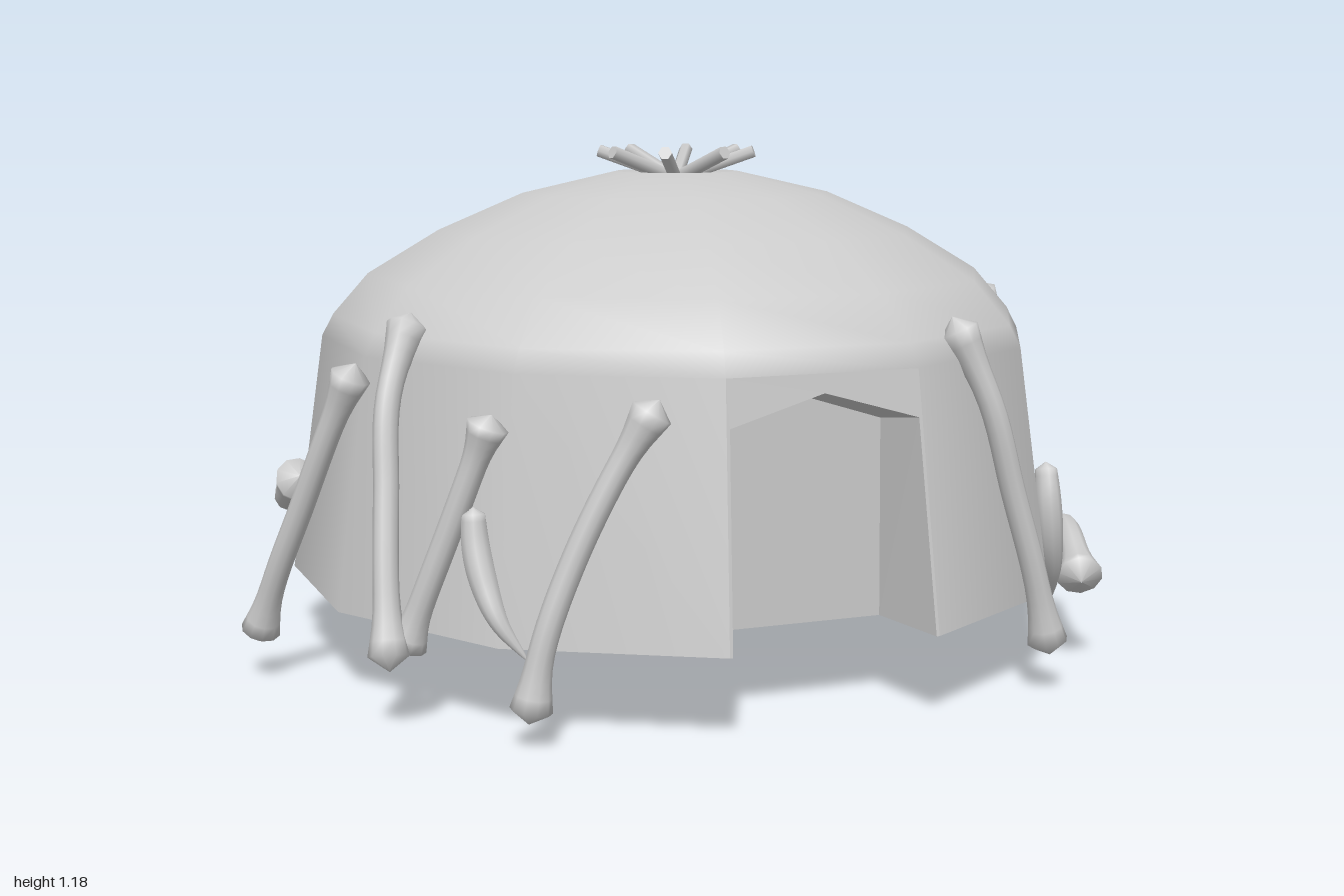
import * as THREE from 'three';

const CX = 0.04, CZ = 0.06, SIDES = 12, HALF = Math.PI / SIDES;
const mat = new THREE.MeshStandardMaterial({ color: 0xcccccc });
const thin = new THREE.MeshStandardMaterial({ color: 0xcccccc, side: THREE.DoubleSide });

function add(group, name, geo, material = mat) {
  const m = new THREE.Mesh(geo, material);
  m.name = name;
  group.add(m);
  return m;
}

function addGroup(parent, name) {
  const g = new THREE.Group();
  g.name = name;
  parent.add(g);
  return g;
}

// hide cover: distance of the flat sides from the axis, and height
const COVER = [[0.88, 0.19], [0.805, 0.74], [0.78, 0.79], [0.7, 0.885], [0.54, 0.985],
  [0.35, 1.07], [0.14, 1.12], [0.1, 1.105], [0.001, 1.09]];

// distance of the flat sides at a height
function wallAt(y) {
  if (y <= COVER[0][1]) return COVER[0][0];
  const i = COVER.findIndex(p => p[1] >= y);
  const [r0, y0] = COVER[i - 1], [r1, y1] = COVER[i];
  return r0 + (r1 - r0) * (y - y0) / (y1 - y0);
}

function buildCover(group) {
  const pts = COVER.map(([r, y]) => new THREE.Vector2(r / Math.cos(HALF), y));
  const geo = new THREE.LatheGeometry(pts, SIDES, HALF);
  // leave out the front wall panel, which holds the doorway
  const idx = Array.from(geo.index.array);
  idx.splice((SIDES - 1) * (pts.length - 1) * 6, 6);
  geo.setIndex(idx);
  add(group, 'domeCover', geo, thin).position.set(CX, 0, CZ);
}

// gabled door outline: half width at the foot and eaves, eaves and peak heights
function gable(foot, eaves, side, peak) {
  const y = COVER[0][1];
  return [[-foot, y], [-eaves, side], [0, peak], [eaves, side], [foot, y]];
}

const toShape = pts => new THREE.Shape(pts.map(p => new THREE.Vector2(...p)));

function buildDoorway(group) {
  const [[r0, y0], [r1, y1]] = COVER;
  const w0 = r0 * Math.tan(HALF), w1 = r1 * Math.tan(HALF);
  const outer = gable(0.229, 0.212, 0.64, 0.7);
  const inner = gable(0.2, 0.195, 0.62, 0.68);
  const door = addGroup(group, 'doorway');
  door.position.set(CX, 0, CZ);

  // leaning wall panel cut out around the opening
  const panel = new THREE.ShapeGeometry(toShape([[-w0, y0], ...outer, [w0, y0], [w1, y1], [-w1, y1]]));
  const pos = panel.attributes.position;
  for (let i = 0; i < pos.count; i++) pos.setZ(i, wallAt(pos.getY(i)));
  panel.computeVertexNormals();
  add(door, 'doorSurround', panel, thin);

  // jambs and lintels running back to the door panel
  const backZ = 0.68, verts = [];
  for (let i = 0; i < 4; i++) {
    const [a, b] = [outer[i], outer[i + 1]].map(p => [...p, wallAt(p[1])]);
    const [c, d] = [inner[i + 1], inner[i]].map(p => [...p, backZ]);
    verts.push(...a, ...b, ...c, ...a, ...c, ...d);
  }
  const jambs = new THREE.BufferGeometry();
  jambs.setAttribute('position', new THREE.Float32BufferAttribute(verts, 3));
  jambs.computeVertexNormals();
  add(door, 'doorJambs', jambs, thin);
  add(door, 'doorPanel', new THREE.ShapeGeometry(toShape(inner)).translate(0, 0, backZ), thin);
}

// ring of pole ends crossing at the top and fanning outwards
function buildPoles(group) {
  const poles = addGroup(group, 'roofPoles');
  for (let i = 0; i < 8; i++) {
    const pivot = addGroup(poles, 'roofPole');
    pivot.position.set(CX, 1.1, CZ);
    pivot.rotation.y = 0.27 + i * Math.PI / 4;
    const geo = new THREE.CylinderGeometry(0.016, 0.016, 0.22, 6);
    geo.rotateZ(-Math.PI / 2 + 0.34).translate(0.08, 0.03, 0);
    add(pivot, 'pole', geo);
  }
}

// radius along a bone or tusk, t from 0 (start) to 1 (end)
const knobs = t => 0.82 + 0.6 * Math.exp(-((t / 0.11) ** 2)) + 0.6 * Math.exp(-(((1 - t) / 0.11) ** 2));
const taper = t => 0.08 + 1.1 * Math.pow(1 - t, 0.7);
const sliver = t => 0.1 + Math.sin(Math.PI * (0.25 + t * 0.75));

// tube along a curve whose rings are scaled by a profile; end rings close to a point
function limb(points, radius, profile) {
  const curve = new THREE.CatmullRomCurve3(points);
  const seg = 24, rad = 10;
  const geo = new THREE.TubeGeometry(curve, seg, 1, rad, false);
  const pos = geo.attributes.position, v = new THREE.Vector3(), w = new THREE.Vector3();
  for (let i = 0; i <= seg; i++) {
    const t = i / seg, c = curve.getPointAt(t);
    const r = i === 0 || i === seg ? 0.001 : radius * profile(t);
    for (let j = 0; j <= rad; j++) {
      const k = i * (rad + 1) + j;
      v.fromBufferAttribute(pos, k).sub(c).multiplyScalar(r).add(c);
      pos.setXYZ(k, v.x, v.y, v.z);
    }
  }
  // smooth normals, matched along the seam
  geo.computeVertexNormals();
  const n = geo.attributes.normal;
  for (let i = 0; i <= seg; i++) {
    const a = i * (rad + 1), b = a + rad;
    v.fromBufferAttribute(n, a).add(w.fromBufferAttribute(n, b)).normalize();
    n.setXYZ(a, v.x, v.y, v.z);
    n.setXYZ(b, v.x, v.y, v.z);
  }
  return geo;
}

// path lying against the wall between two bearings (degrees from the front) and heights;
// gap is the extra distance from the wall, swing and lift bow the middle
function wallPath(a0, y0, a1, y1, gap0, gap1, swing, lift, radius) {
  const pts = [];
  for (let t = 0; t <= 1; t += 0.25) {
    const bow = 4 * t * (1 - t);
    const a = a0 + (a1 - a0) * t + swing * bow, y = y0 + (y1 - y0) * t + lift * bow;
    const toFlat = THREE.MathUtils.degToRad(a - 30 * Math.round(a / 30));
    const r = wallAt(y) / Math.cos(toFlat) + radius + gap0 + (gap1 - gap0) * t;
    const b = THREE.MathUtils.degToRad(a);
    pts.push(new THREE.Vector3(CX + r * Math.sin(b), y, CZ + r * Math.cos(b)));
  }
  return pts;
}

// each row: start bearing, start height, end bearing, end height, end gap, bow, start gap
const LEANING_BONES = [
  [-24, 0.7, -40, 0.05, 0.013, -3], [27, 0.83, 38.5, 0.08, 0.025, 0],
  [-68, 0.84, -58, 0.13, 0.075, 0], [-74, 0.73, -90, 0.08, 0.1, 0],
  [-47, 0.66, -59, 0.15, 0.02, 0], [-175, 0.79, -164, 0.15, 0.08, 0],
  [-177, 0.8, -187, 0.08, 0.037, 0], [139, 0.59, 140.5, 0.08, -0.015, 1],
  [85, 0.84, 85, 0.12, 0.017, 0], [95.5, 0.58, 89, 0.1, 0.01, -1],
];
const ARCHED_BONES = [
  [-133, 0.46, -97, 0.43, 0, -0.11], [173, 0.42, 142.5, 0.16, 0.045, -0.1, -0.03],
  [50.5, 0.2, 83, 0.14, 0, 0.1, 0.04],
];
const SPIKES = [
  [-49.5, 0.47, -41, 0.17, -0.02, -2], [-133.5, 0.46, -126.5, 0.14, 0.03, -3],
  [-148.5, 0.2, -162.5, 0.6, -0.01, 0, 0.03], [112.5, 0.64, 97, 0.25, -0.03, 0, 0.035],
  [48, 0.48, 55, 0.13, -0.02, -3.5],
];
const TUSKS = [
  [-149.5, 0.72, -148.5, 0.11, 0.085, 2, -0.05], [125.5, 0, 110.5, 0.68, 0, 1, -0.06],
];

function buildLimbs(group, name, rows, radius, profile, arched = false) {
  const limbs = addGroup(group, name + 's');
  for (const [a0, y0, a1, y1, gap1, bow, gap0 = 0] of rows) {
    const [swing, lift] = arched ? [0, bow] : [bow, 0];
    add(limbs, name, limb(wallPath(a0, y0, a1, y1, gap0, gap1, swing, lift, radius), radius, profile));
  }
}

export function createModel() {
  const model = new THREE.Group();
  model.name = 'boneHut';
  buildCover(model);
  buildDoorway(model);
  buildPoles(model);
  buildLimbs(model, 'leaningBone', LEANING_BONES, 0.033, knobs);
  buildLimbs(model, 'archedBone', ARCHED_BONES, 0.039, knobs, true);
  buildLimbs(model, 'spike', SPIKES, 0.028, sliver);
  buildLimbs(model, 'tusk', TUSKS, 0.055, taper);
  return model;
}
